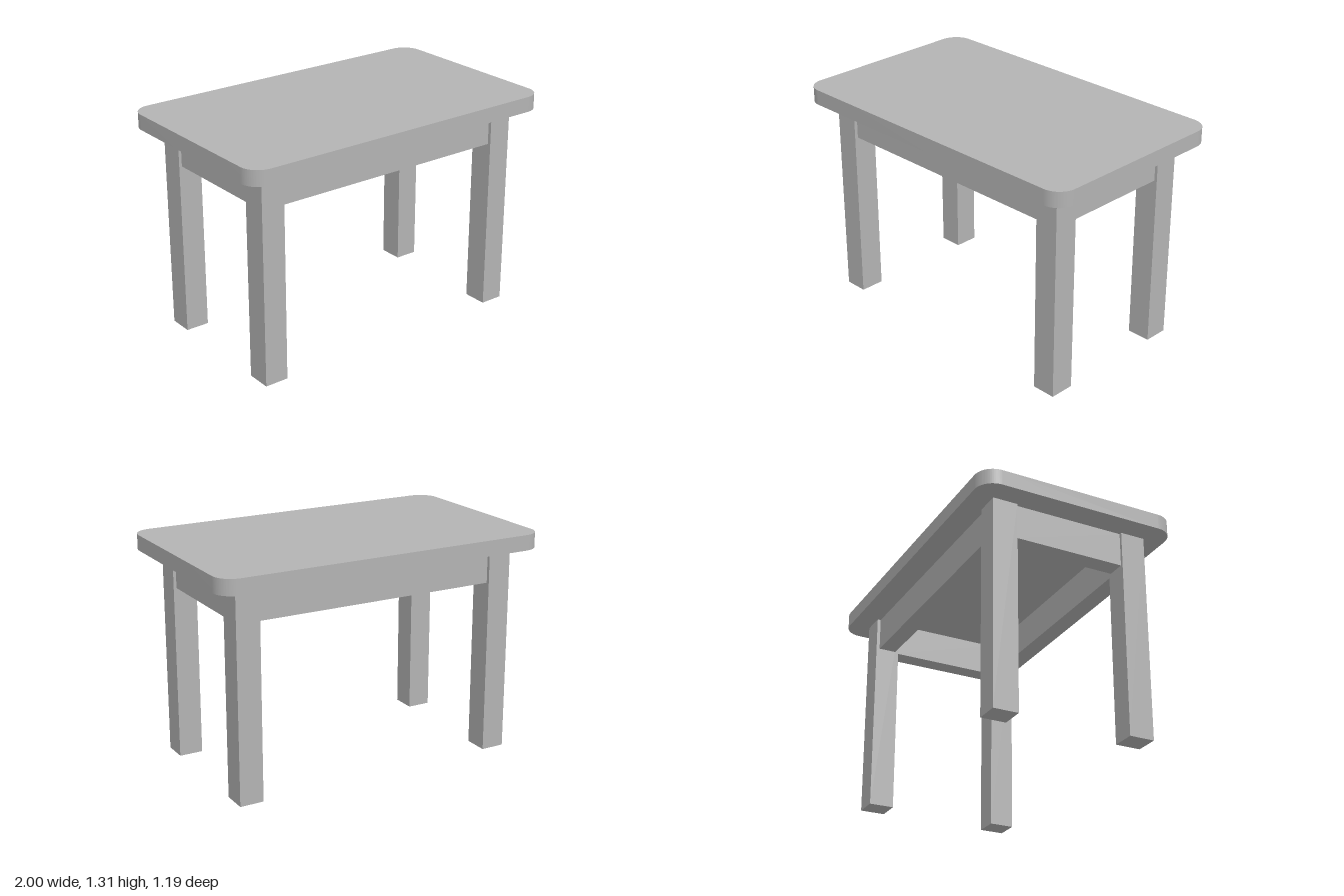
import * as THREE from 'three';
import { toCreasedNormals } from 'three/addons/utils/BufferGeometryUtils.js';

const UNDERSIDE = 1.22, TOP = 1.31;
const LEG = { x: 0.797, z: 0.4, w: 0.14, d: 0.146 };

function roundedRect(hx, hz, r) {
  const s = new THREE.Shape();
  s.absarc(hx - r, hz - r, r, 0, Math.PI / 2);
  s.absarc(-hx + r, hz - r, r, Math.PI / 2, Math.PI);
  s.absarc(-hx + r, -hz + r, r, Math.PI, Math.PI * 1.5);
  s.absarc(hx - r, -hz + r, r, Math.PI * 1.5, Math.PI * 2);
  s.closePath();
  return s;
}

export function createModel() {
  const table = new THREE.Group();
  table.name = 'table';
  const grey = new THREE.MeshStandardMaterial({ color: 0xb3b3b3 });
  grey.name = 'grey';

  const add = (name, geometry, x, y, z) => {
    const mesh = new THREE.Mesh(geometry, grey);
    mesh.name = name;
    mesh.position.set(x, y, z);
    table.add(mesh);
  };

  // Tabletop with rounded corners
  const slab = new THREE.ExtrudeGeometry(roundedRect(1, 0.597, 0.11), {
    depth: TOP - UNDERSIDE, bevelEnabled: false, curveSegments: 16,
  });
  slab.rotateX(-Math.PI / 2);
  add('tabletop', toCreasedNormals(slab, 0.5), 0, UNDERSIDE, 0);

  // Four square legs
  const leg = new THREE.BoxGeometry(LEG.w, UNDERSIDE, LEG.d);
  for (const [side, sx] of [['Left', 1], ['Right', -1]]) {
    add('front' + side + 'Leg', leg, sx * LEG.x, UNDERSIDE / 2, LEG.z);
    add('back' + side + 'Leg', leg, sx * LEG.x, UNDERSIDE / 2, -LEG.z);
  }

  // Aprons between the legs, slightly inset from the leg faces
  const apronH = 0.2, apronT = 0.106;
  const apronY = UNDERSIDE - apronH / 2;
  const longApron = new THREE.BoxGeometry(2 * LEG.x - LEG.w, apronH, apronT);
  const shortApron = new THREE.BoxGeometry(apronT, apronH, 2 * LEG.z - LEG.d);
  add('frontApron', longApron, 0, apronY, LEG.z);
  add('backApron', longApron, 0, apronY, -LEG.z);
  add('leftApron', shortApron, LEG.x, apronY, 0);
  add('rightApron', shortApron, -LEG.x, apronY, 0);

  return table;
}
